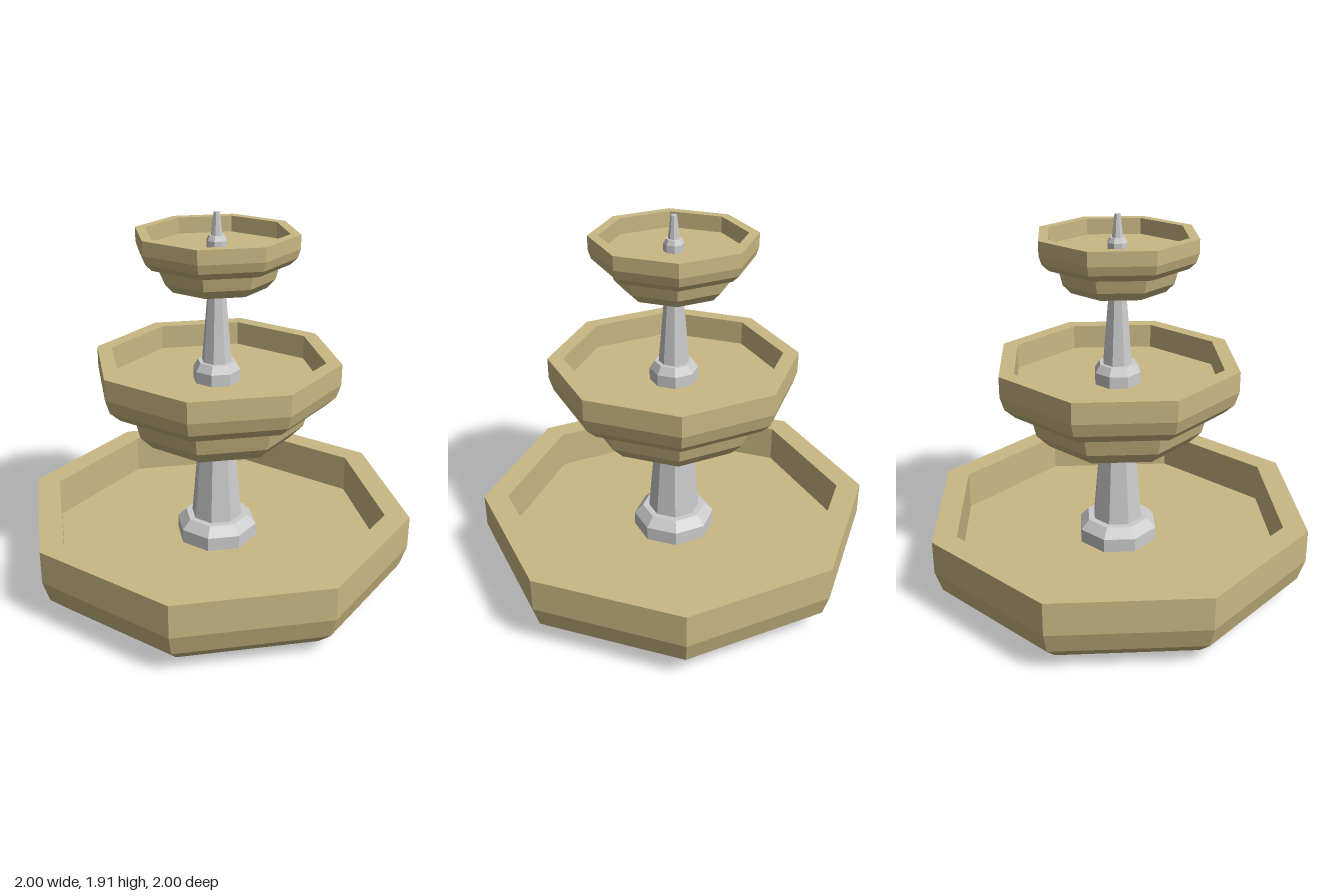
import * as THREE from 'three';

const stone = new THREE.MeshStandardMaterial({ color: 0xcab883, flatShading: true });
const grey = new THREE.MeshStandardMaterial({ color: 0xcccccc, flatShading: true });

// Eight-sided turned part from a profile of [radius, height], bottom to top
function turned(name, profile, material) {
  const points = profile.map(([r, y]) => new THREE.Vector2(r, y));
  const mesh = new THREE.Mesh(new THREE.LatheGeometry(points, 8), material);
  mesh.name = name;
  return mesh;
}

// Rounded basin of unit radius: underside, wall, rim, inner wall, water floor
const BASIN = [
  [0, 0], [0.75, 0.003], [0.88, 0.04], [0.965, 0.12], [1, 0.23],
  [1, 0.4], [0.875, 0.4], [0.875, 0.2], [0, 0.2],
];

// Smaller cup under the raised basins, in units of the basin radius
const CUP = [[0, -0.305], [0.43, -0.305], [0.605, -0.26], [0.71, -0.15], [0.75, 0.003]];

// Column with a chamfered foot
function column(name, floor, footRadius, footHeight, collarRadius, lowRadius, topRadius, top) {
  return turned(name, [
    [0, floor],
    [footRadius, floor],
    [footRadius, floor + footHeight * 0.6],
    [collarRadius, floor + footHeight],
    [lowRadius, floor + footHeight],
    [topRadius, top],
    [0, top],
  ], grey);
}

export function createModel() {
  const fountain = new THREE.Group();
  fountain.name = 'fountain';

  // Three basins, each a smaller copy of the one below
  const tiers = [
    { name: 'lowerBasin', size: 1, y: 0 },
    { name: 'middleBasin', size: 0.62, y: 0.95, cup: true },
    { name: 'upperBasin', size: 0.4, y: 1.66, cup: true },
  ];
  for (const { name, size, y, cup } of tiers) {
    const profile = cup ? [...CUP, ...BASIN.slice(2)] : BASIN;
    const basin = turned(name, profile, stone);
    basin.scale.setScalar(size);
    basin.position.y = y;
    fountain.add(basin);
  }

  // Columns between the basins and the spout on top
  fountain.add(
    column('lowerColumn', 0.2, 0.21, 0.12, 0.165, 0.132, 0.093, 0.765),
    column('middleColumn', 1.074, 0.12, 0.1, 0.095, 0.075, 0.045, 1.53),
    column('spout', 1.74, 0.05, 0.06, 0.038, 0.028, 0.015, 1.91),
  );
  return fountain;
}
